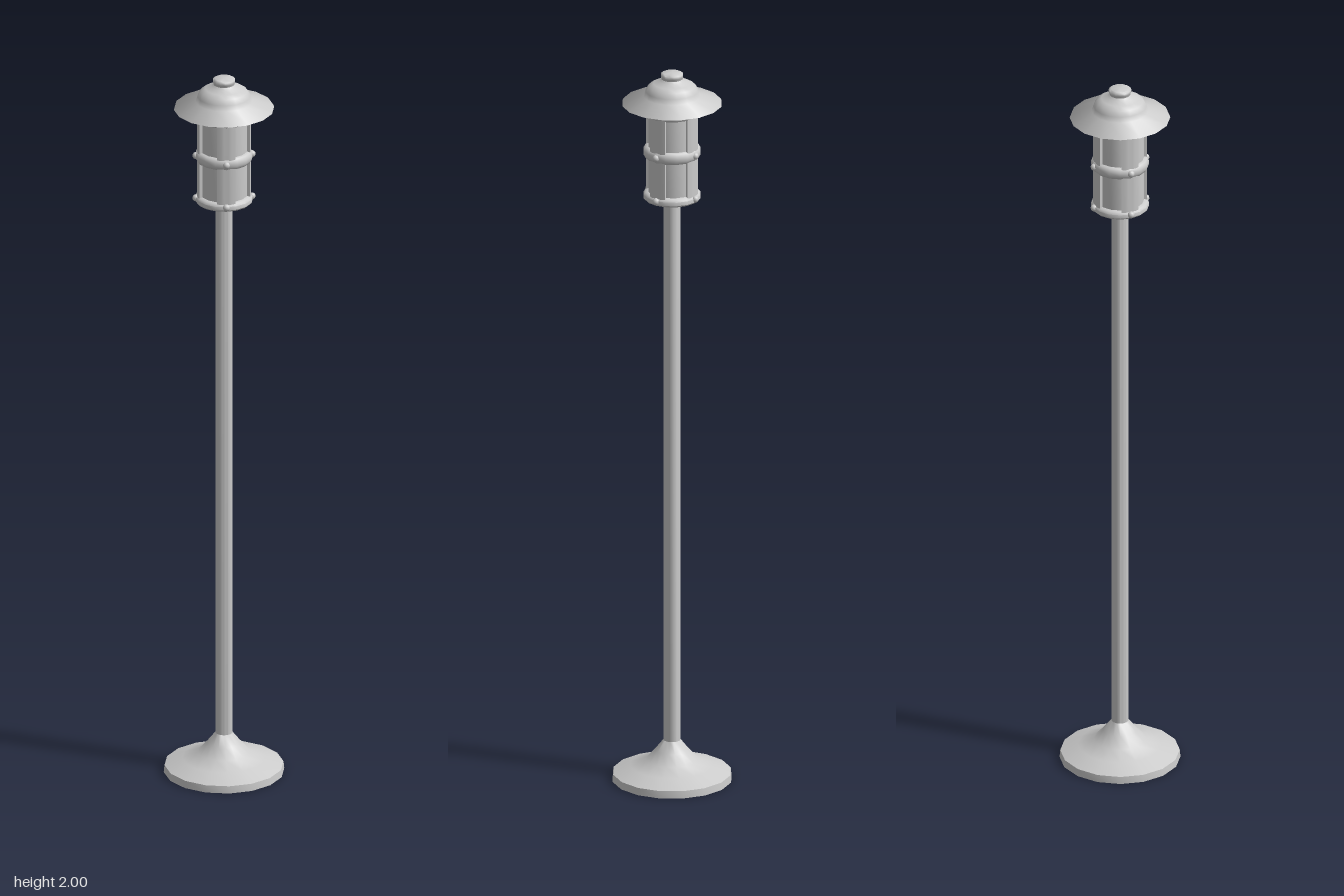
import * as THREE from 'three';
import { toCreasedNormals } from 'three/addons/utils/BufferGeometryUtils.js';

const material = new THREE.MeshStandardMaterial({ color: 0xcccccc, side: THREE.DoubleSide });

export function createModel() {
  const model = new THREE.Group();
  model.name = 'lampPost';

  const add = (name, geometry, parent = model) => {
    const mesh = new THREE.Mesh(geometry, material);
    mesh.name = name;
    parent.add(mesh);
    return mesh;
  };
  // Turned part from [radius, height] pairs, bottom to top
  const turned = (name, profile, crease = 0.7, parent = model) => {
    const points = profile.map(([r, y]) => new THREE.Vector2(r, y));
    return add(name, toCreasedNormals(new THREE.LatheGeometry(points, 16), crease), parent);
  };

  // Flared foot, hollow underneath
  turned('base', [[0.161, 0], [0.159, 0.02], [0.112, 0.039], [0.07, 0.055], [0.045, 0.082], [0.023, 0.11]], 1.0);

  // Pole
  turned('pole', [[0.023, 0.1], [0.023, 1.645]]);

  // Lantern: inner glass, frame bands, corner posts and rivets
  const lantern = new THREE.Group();
  lantern.name = 'lantern';
  model.add(lantern);
  turned('glass', [[0, 1.65], [0.064, 1.65], [0.064, 1.93]], 0.7, lantern);
  turned('bottomBand', [[0, 1.643], [0.072, 1.643], [0.077, 1.648], [0.077, 1.658], [0.072, 1.664], [0.064, 1.666]], 0.7, lantern);
  turned('middleBand', [[0.064, 1.761], [0.072, 1.763], [0.077, 1.772], [0.077, 1.783], [0.072, 1.792], [0.064, 1.794]], 0.9, lantern);
  turned('topBand', [[0.064, 1.882], [0.072, 1.884], [0.076, 1.892], [0.076, 1.9], [0.072, 1.907], [0.072, 1.93]], 0.9, lantern);

  // Curved post filling the arc between two windows
  const half = THREE.MathUtils.degToRad(20);
  const arc = new THREE.Shape();
  arc.absarc(0, 0, 0.072, -half, half, false);
  arc.absarc(0, 0, 0.063, half, -half, true);
  arc.closePath();
  const postGeometry = toCreasedNormals(
    new THREE.ExtrudeGeometry(arc, { depth: 0.27, bevelEnabled: false, curveSegments: 4 })
      .rotateX(-Math.PI / 2).translate(0, 1.65, 0), 0.7);
  const rivetGeometry = new THREE.SphereGeometry(0.0095, 10, 8);

  for (let i = 0; i < 4; i++) {
    const side = new THREE.Group();
    side.name = 'lanternSide' + (i + 1);
    side.rotation.y = i * Math.PI / 2;
    lantern.add(side);
    add('post', postGeometry, side);
    for (const y of [1.656, 1.778, 1.896]) {
      add('rivet', rivetGeometry, side).position.set(0.075, y, 0);
    }
  }

  // Wide-brimmed roof with a small capped chimney
  turned('roof', [
    [0.134, 1.912], [0.132, 1.917], [0.076, 1.934], [0.071, 1.948], [0.063, 1.962],
    [0.05, 1.97], [0.034, 1.976], [0.028, 1.982],
  ], 1.1);
  turned('cap', [[0.027, 1.974], [0.027, 1.985], [0.03, 1.988], [0.03, 1.996], [0.025, 1.999], [0, 2]], 1.1);

  return model;
}
